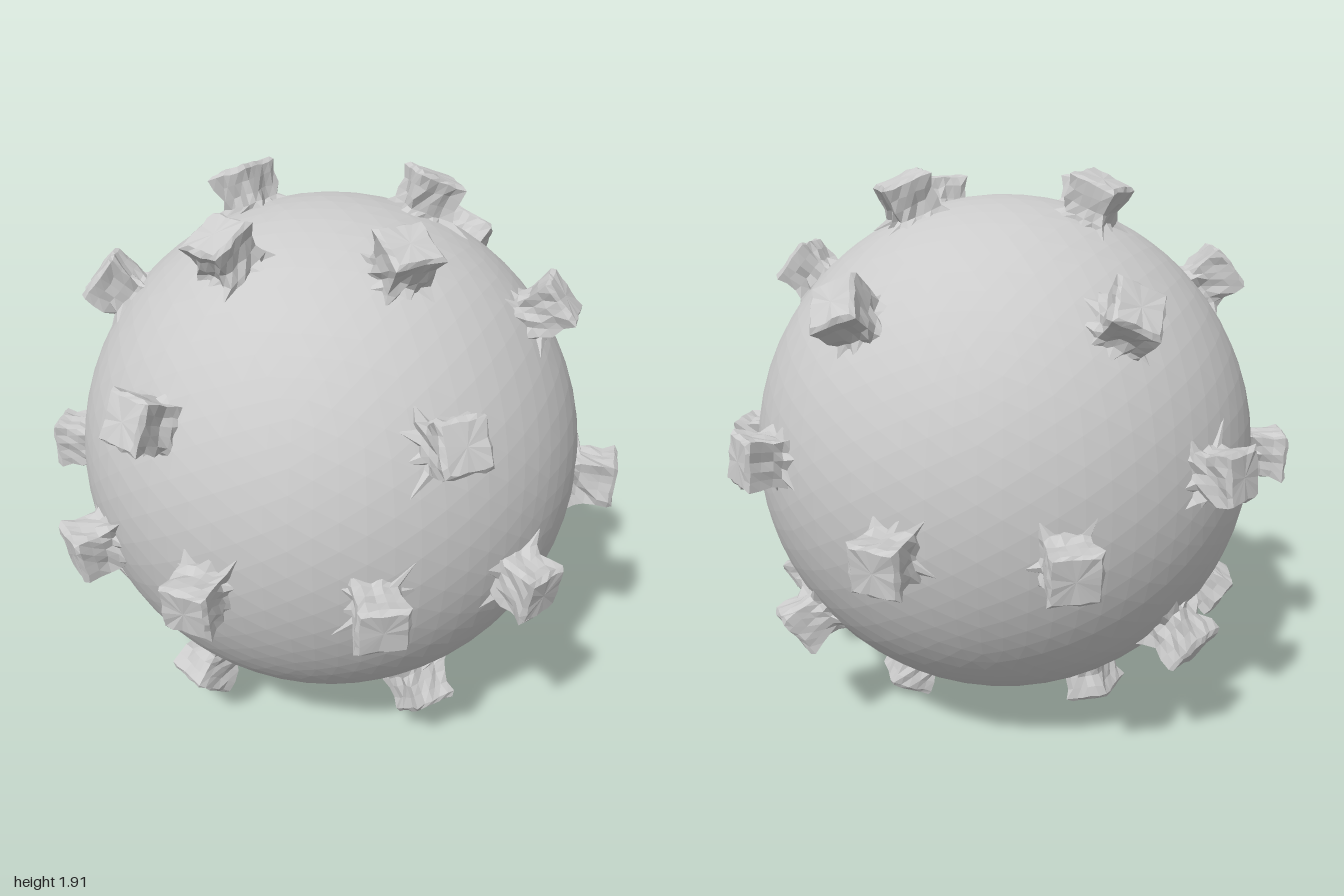
import * as THREE from 'three';

const CENTER_Y = 0.95;
const RADIUS = 0.863;
const SEG = 5; // points along each side of a stud's square section

// Stud directions from the ball's centre, mirrored in x, with a roll in degrees
const STUDS = [
  [0.27, 0.81, 0.37, 0], [0.31, 0.88, -0.13, 0], [0.70, 0.58, 0.11, 0],
  [0.42, 0.58, -0.60, 30], [0.46, 0.39, 0.71, 0], [0.71, 0.10, -0.57, 0],
  [1.00, -0.04, 0.07, 0], [0.28, -0.10, 0.90, 0], [0.69, -0.14, 0.58, 0],
  [0.27, -0.09, -0.89, 0], [0.74, -0.55, 0.05, 0], [0.64, -0.52, -0.46, 10],
  [0.37, -0.71, 0.42, 0], [0.33, -0.85, -0.13, 0],
];

// Cross-sections of a stud: distance from centre, half width, ragged jitter
const RINGS = [
  [0.846, 0.078, 0.055], [0.872, 0.073, 0.014], [0.905, 0.071, 0.008],
  [0.945, 0.075, 0.007], [0.982, 0.081, 0.005], [0.995, 0.07, 0.003],
];

function seeded(seed) {
  let s = seed * 7919 + 17;
  return () => (s = (s * 16807) % 2147483647) / 2147483647;
}

// Point on the outline of a unit square, counter-clockwise
function squarePoint(i) {
  const side = Math.floor(i / SEG);
  const t = (i % SEG) / SEG * 2 - 1;
  return [[1, t], [-t, 1], [-1, -t], [t, -1]][side];
}

// Rough block with a slightly flared head and a ragged, spiky foot
function studGeometry(seed) {
  const rand = seeded(seed);
  const n = SEG * 4;
  const pos = [];
  const index = [];
  RINGS.forEach(([z, half, jitter], r) => {
    for (let i = 0; i < n; i++) {
      const [x, y] = squarePoint(i);
      const spike = r === 0 ? (i % 2) * rand() * jitter : (rand() - 0.5) * 2 * jitter;
      const w = half + spike;
      const twist = r === 0 ? (rand() - 0.5) * 0.02 : 0;
      pos.push(x * w - y * twist, y * w + x * twist, z + (r ? (rand() - 0.5) * 0.008 : 0));
    }
  });
  for (let r = 0; r < RINGS.length - 1; r++) {
    for (let i = 0; i < n; i++) {
      const a = r * n + i, b = r * n + (i + 1) % n;
      index.push(a, b, b + n, a, b + n, a + n);
    }
  }
  // Cap of the head
  const top = (RINGS.length - 1) * n;
  pos.push(0, 0, 0.993);
  for (let i = 0; i < n; i++) index.push(top + i, top + (i + 1) % n, top + n);
  const geo = new THREE.BufferGeometry();
  geo.setAttribute('position', new THREE.Float32BufferAttribute(pos, 3));
  geo.setIndex(index);
  geo.computeVertexNormals();
  return geo;
}

export function createModel() {
  const model = new THREE.Group();
  model.name = 'studdedBall';
  const material = new THREE.MeshStandardMaterial({ color: 0xcccccc, flatShading: true });

  // Faceted ball
  const ball = new THREE.Mesh(new THREE.IcosahedronGeometry(RADIUS, 11), material);
  ball.name = 'ball';
  ball.position.y = CENTER_Y;
  model.add(ball);

  // Mirrored pairs of studs pointing outwards
  const studs = new THREE.Group();
  studs.name = 'studs';
  studs.position.y = CENTER_Y;
  STUDS.forEach(([x, y, z, roll], i) => {
    for (const side of [1, -1]) {
      const stud = new THREE.Mesh(studGeometry(i * 2 + (side > 0 ? 1 : 2)), material);
      stud.name = side > 0 ? 'leftStud' : 'rightStud';
      stud.lookAt(x * side, y, z);
      stud.rotateZ(THREE.MathUtils.degToRad(roll * side));
      studs.add(stud);
    }
  });
  model.add(studs);
  return model;
}
